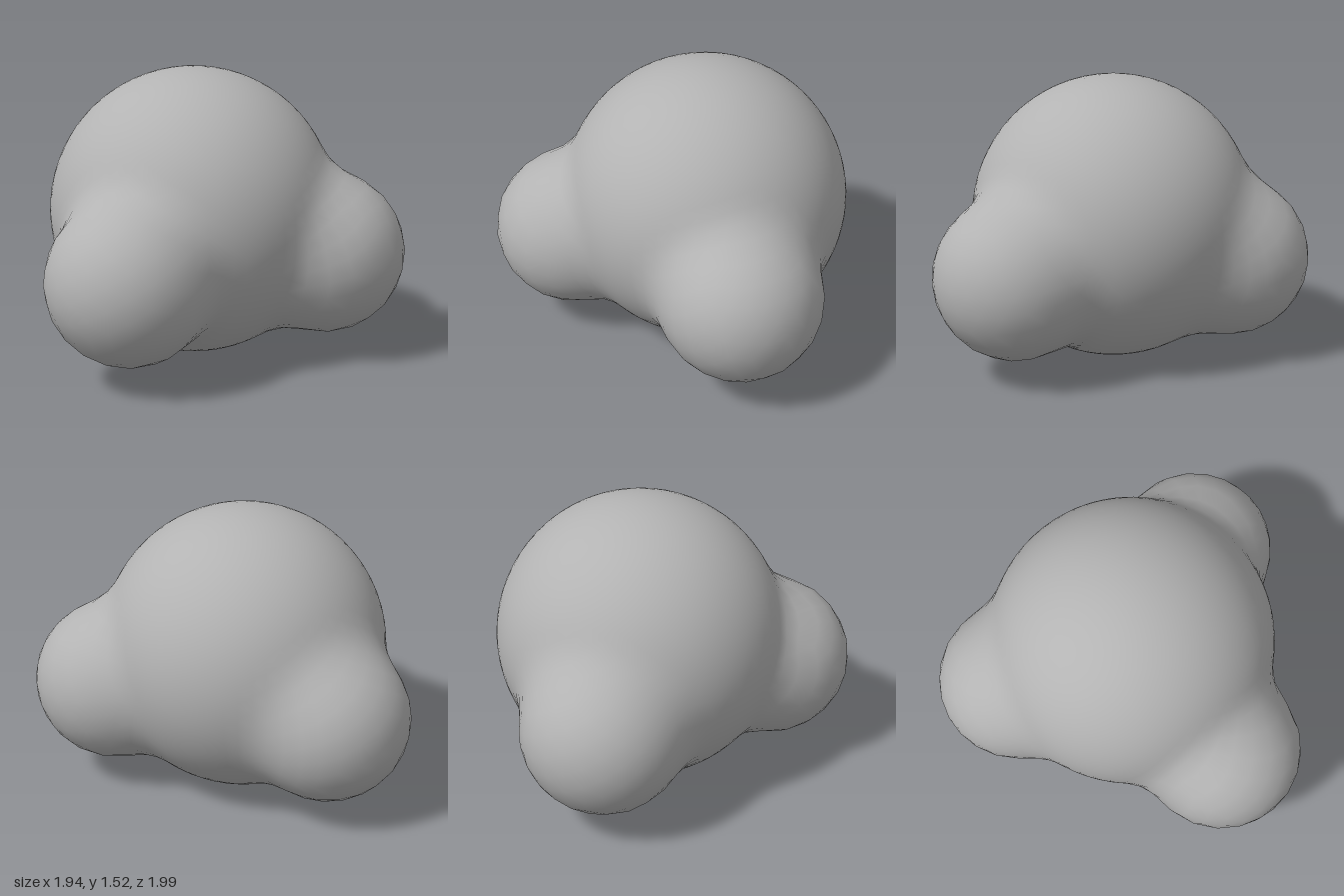
import * as THREE from 'three';
import { mergeVertices } from 'three/addons/utils/BufferGeometryUtils.js';

// Balls that melt together: one large core and three smaller lobes
const core = { c: new THREE.Vector3(-0.12, 0.76, 0), r: 0.76 };
const lobes = [
  { c: new THREE.Vector3(-0.55, 0.54, 0.575), r: 0.425 }, // front right
  { c: new THREE.Vector3(0.54, 0.55, 0.22), r: 0.43 },    // left
  { c: new THREE.Vector3(-0.385, 0.54, -0.57), r: 0.43 }, // back right
];
const BLEND = 0.13;

// Smooth minimum of two distances, giving a soft fillet where balls meet
function smoothMin(a, b) {
  const h = Math.max(BLEND - Math.abs(a - b), 0) / BLEND;
  return Math.min(a, b) - h * h * BLEND / 4;
}

function distance(p) {
  const d = lobes.map((l) => p.distanceTo(l.c) - l.r);
  return smoothMin(p.distanceTo(core.c) - core.r, Math.min(...d));
}

// Distance along a ray from the core centre to the blended surface
function surfaceRadius(dir) {
  const p = new THREE.Vector3();
  let lo = 0.5, hi = 1.4;
  for (let i = 0; i < 24; i++) {
    const mid = (lo + hi) / 2;
    p.copy(core.c).addScaledVector(dir, mid);
    if (distance(p) < 0) lo = mid; else hi = mid;
  }
  return lo;
}

export function createModel() {
  const group = new THREE.Group();
  group.name = 'lobedBlob';
  const grey = new THREE.MeshStandardMaterial({ color: 0xb3b3b3 });
  grey.name = 'grey';

  // Push a geodesic sphere out to the blended surface
  let geometry = new THREE.IcosahedronGeometry(1, 11);
  geometry.deleteAttribute('normal');
  geometry.deleteAttribute('uv');
  geometry = mergeVertices(geometry, 1e-4);
  const pos = geometry.attributes.position;
  const v = new THREE.Vector3();
  for (let i = 0; i < pos.count; i++) {
    v.fromBufferAttribute(pos, i).normalize();
    v.multiplyScalar(surfaceRadius(v)).add(core.c);
    pos.setXYZ(i, v.x, v.y, v.z);
  }
  geometry.computeVertexNormals();

  const body = new THREE.Mesh(geometry, grey);
  body.name = 'blobSurface';
  group.add(body);
  return group;
}
